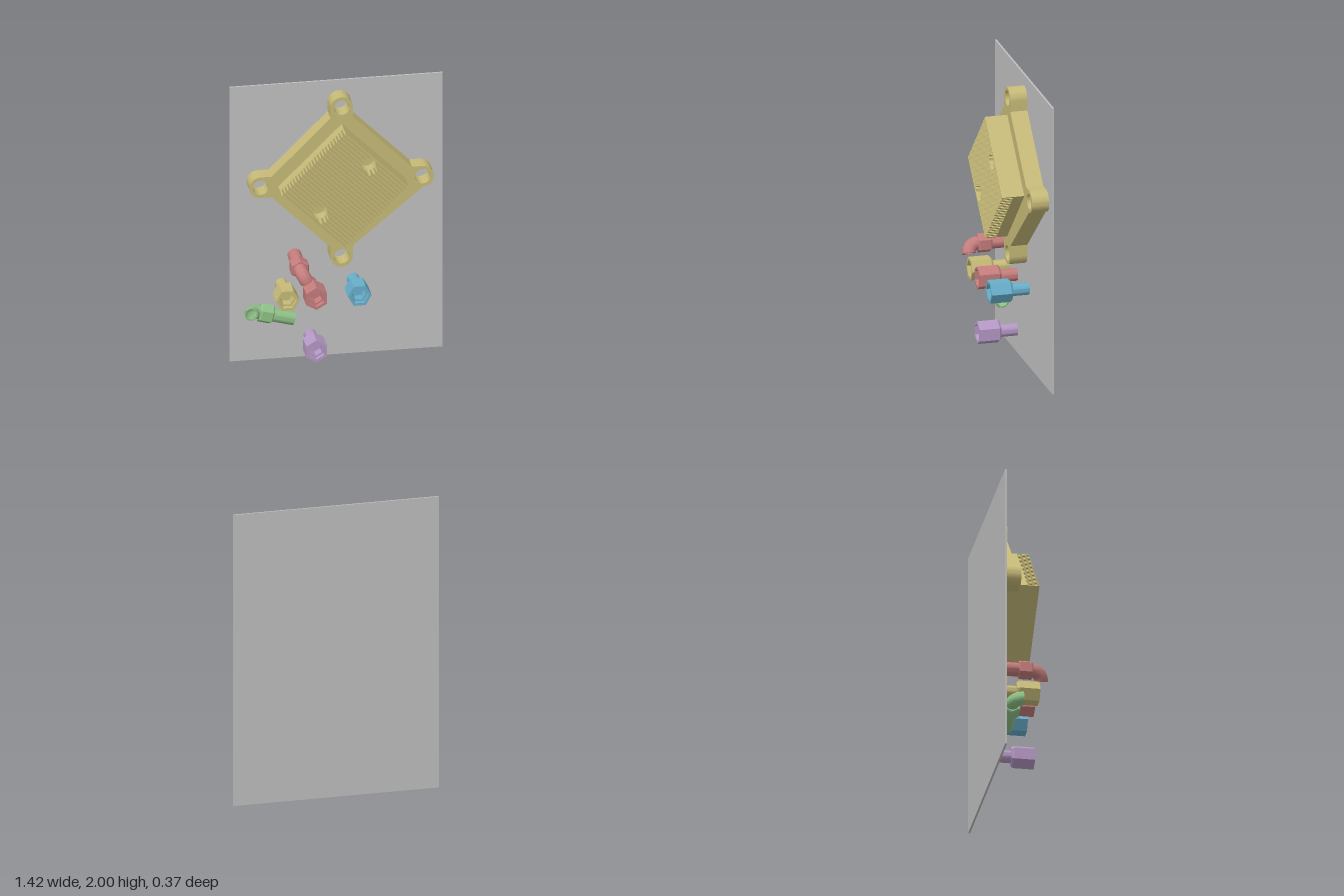
import * as THREE from 'three';
import { toCreasedNormals } from 'three/addons/utils/BufferGeometryUtils.js';

const paint = (name, color) => {
  const m = new THREE.MeshStandardMaterial({ color });
  m.name = name;
  return m;
};

function add(parent, name, geometry, material) {
  const mesh = new THREE.Mesh(toCreasedNormals(geometry, 0.6), material);
  mesh.name = name;
  parent.add(mesh);
  return mesh;
}

const extrude = (shape, z0, z1) =>
  new THREE.ExtrudeGeometry(shape, { depth: z1 - z0, bevelEnabled: false, curveSegments: 24 }).translate(0, 0, z0);

// Lathe around z; profile is a list of [radius, z]
const latheZ = (profile, sides) =>
  new THREE.LatheGeometry(profile.map(([r, z]) => new THREE.Vector2(r, z)), sides).rotateX(Math.PI / 2);

const circle = (x, y, r) => new THREE.Path().absarc(x, y, r, 0, Math.PI * 2, true);

// Mounting plate with four round ears, and a finned core with two blind ports
function makeBlock(mat) {
  const block = new THREE.Group();
  block.name = 'finnedBlock';
  block.position.set(0.018, 1.308, 0);

  const EAR = 0.542, R = 0.075;
  const outline = new THREE.Shape();
  for (let k = 0; k < 4; k++) {
    const a = k * Math.PI / 2, c = Math.cos(a), s = Math.sin(a);
    const corner = (u, v) => [c * u - s * v, s * u + c * v];
    if (k === 0) outline.moveTo(...corner(0.47, -R));
    else outline.lineTo(...corner(0.47, -R));
    outline.absarc(c * EAR, s * EAR, R, a - Math.PI / 2, a + Math.PI / 2, false);
    outline.lineTo(...corner(0.47, R));
    outline.holes.push(circle(c * EAR, s * EAR, 0.052));
  }
  add(block, 'flange', extrude(outline, -0.172, -0.055), mat);

  const core = new THREE.Group();
  core.name = 'core';
  core.rotation.z = -Math.PI / 4;
  block.add(core);
  const H = 0.3005, PORT_V = 0.23, PORT_R = 0.055;
  const square = new THREE.Shape([[-H, -H], [H, -H], [H, H], [-H, H]].map(p => new THREE.Vector2(...p)));
  for (const s of [-1, 1]) square.holes.push(circle(0, s * PORT_V, PORT_R));
  add(core, 'coreBase', extrude(square, -0.055, 0.02), mat);

  // Fins, cut back to the edge of the ports where they meet one
  const COUNT = 24, pitch = 2 * H / (COUNT - 0.5), thick = pitch * 0.5;
  for (let i = 0; i < COUNT; i++) {
    const v0 = -H + i * pitch;
    const rows = [0, 1, 2, 3, 4].map(j => v0 + thick * j / 4);
    const cut = v => Math.sqrt(Math.max(0, PORT_R ** 2 - (Math.abs(v) - PORT_V) ** 2));
    if (rows.some(v => cut(v) > 0)) {
      for (const s of [-1, 1]) {
        const pts = rows.map(v => new THREE.Vector2(s * cut(v), v));
        pts.push(new THREE.Vector2(s * H, v0 + thick), new THREE.Vector2(s * H, v0));
        add(core, 'fin', extrude(new THREE.Shape(pts), 0.02, 0.098), mat);
      }
    } else {
      add(core, 'fin', new THREE.BoxGeometry(2 * H, thick, 0.078).translate(0, v0 + thick / 2, 0.059), mat);
    }
  }
  return block;
}

// Straight fitting: round stem and hexagonal head with a stepped hexagonal socket
function makeFitting(name, x, y, turn, mat) {
  const g = new THREE.Group();
  g.name = name;
  g.position.set(x, y, 0);
  add(g, 'stem', latheZ([[0, -0.172], [0.042, -0.172], [0.042, -0.05]], 32), mat);
  const head = add(g, 'hexHead', latheZ([
    [0, -0.055], [0.066, -0.055], [0.08, -0.04], [0.08, 0.098], [0.06, 0.098],
    [0.06, 0.065], [0.047, 0.065], [0.047, 0.0], [0, 0.0],
  ], 6), mat);
  head.rotation.z = turn;
  return g;
}

// Elbow fitting: hollow stem, hexagonal collar, quarter bend towards local -y
function makeElbow(name, mat) {
  const g = new THREE.Group();
  g.name = name;
  const RO = 0.046, RI = 0.036, BEND = 0.065;
  add(g, 'stem', latheZ([[RI, 0], [RI, -0.24], [RO, -0.24], [RO, -0.09]], 32), mat);
  const collar = add(g, 'hexCollar', latheZ([
    [RO, -0.092], [0.06, -0.092], [0.067, -0.084], [0.067, -0.008], [0.06, 0], [RO - 0.004, 0],
  ], 6), mat);
  collar.rotation.z = Math.PI / 6;

  const path = new THREE.CurvePath();
  path.getPoint = t => {
    const a = t * Math.PI / 2;
    return new THREE.Vector3(0, BEND * (Math.cos(a) - 1), BEND * Math.sin(a));
  };
  path.getPointAt = path.getPoint;
  path.getTangent = path.getTangentAt = t => {
    const a = t * Math.PI / 2;
    return new THREE.Vector3(0, -Math.sin(a), Math.cos(a));
  };
  add(g, 'bend', new THREE.TubeGeometry(path, 16, RO, 32), mat);
  const bore = new THREE.TubeGeometry(path, 16, RI, 32).toNonIndexed();
  // Turn the bore inside out by swapping two corners of each triangle
  const p = bore.attributes.position;
  for (let i = 0; i < p.count; i += 3) {
    const b = new THREE.Vector3().fromBufferAttribute(p, i + 1);
    const c = new THREE.Vector3().fromBufferAttribute(p, i + 2);
    p.setXYZ(i + 1, c.x, c.y, c.z);
    p.setXYZ(i + 2, b.x, b.y, b.z);
  }
  add(g, 'bore', bore, mat);
  add(g, 'rim', new THREE.RingGeometry(RI, RO, 32).rotateX(Math.PI / 2).translate(0, -BEND, BEND), mat);
  return g;
}

export function createModel() {
  const grey = paint('panel grey', 0xc0c0c0);
  const tan = paint('brass tan', 0xc6ba78);
  const red = paint('dusty red', 0xc47c7c);
  const green = paint('soft green', 0x8fc087);
  const blue = paint('sky blue', 0x68aeca);
  const purple = paint('lilac', 0xb498c4);

  const model = new THREE.Group();
  model.name = 'coolingBlockKit';
  add(model, 'backPanel', new THREE.BoxGeometry(1.425, 2, 0.013).translate(0, 1, -0.1785), grey);
  model.add(makeBlock(tan));

  // Straight fittings
  model.add(
    makeFitting('tanFitting', -0.368, 0.54, Math.PI / 6, tan),
    makeFitting('redFitting', -0.176, 0.54, 0, red),
    makeFitting('blueFitting', 0.113, 0.54, Math.PI / 6, blue),
    makeFitting('lilacFitting', -0.176, 0.157, 0, purple),
  );

  // Elbow fittings: one pointing forward, one lying along the panel
  const redElbow = makeElbow('redElbow', red);
  redElbow.position.set(-0.28, 0.747, 0.07);
  redElbow.rotation.z = Math.PI / 6;
  const greenElbow = makeElbow('greenElbow', green);
  greenElbow.position.set(-0.526, 0.376, -0.108);
  greenElbow.quaternion.setFromRotationMatrix(new THREE.Matrix4().makeBasis(
    new THREE.Vector3(0.264, 0.9645, 0), new THREE.Vector3(0, 0, -1), new THREE.Vector3(-0.9645, 0.264, 0)));
  model.add(redElbow, greenElbow);
  return model;
}
